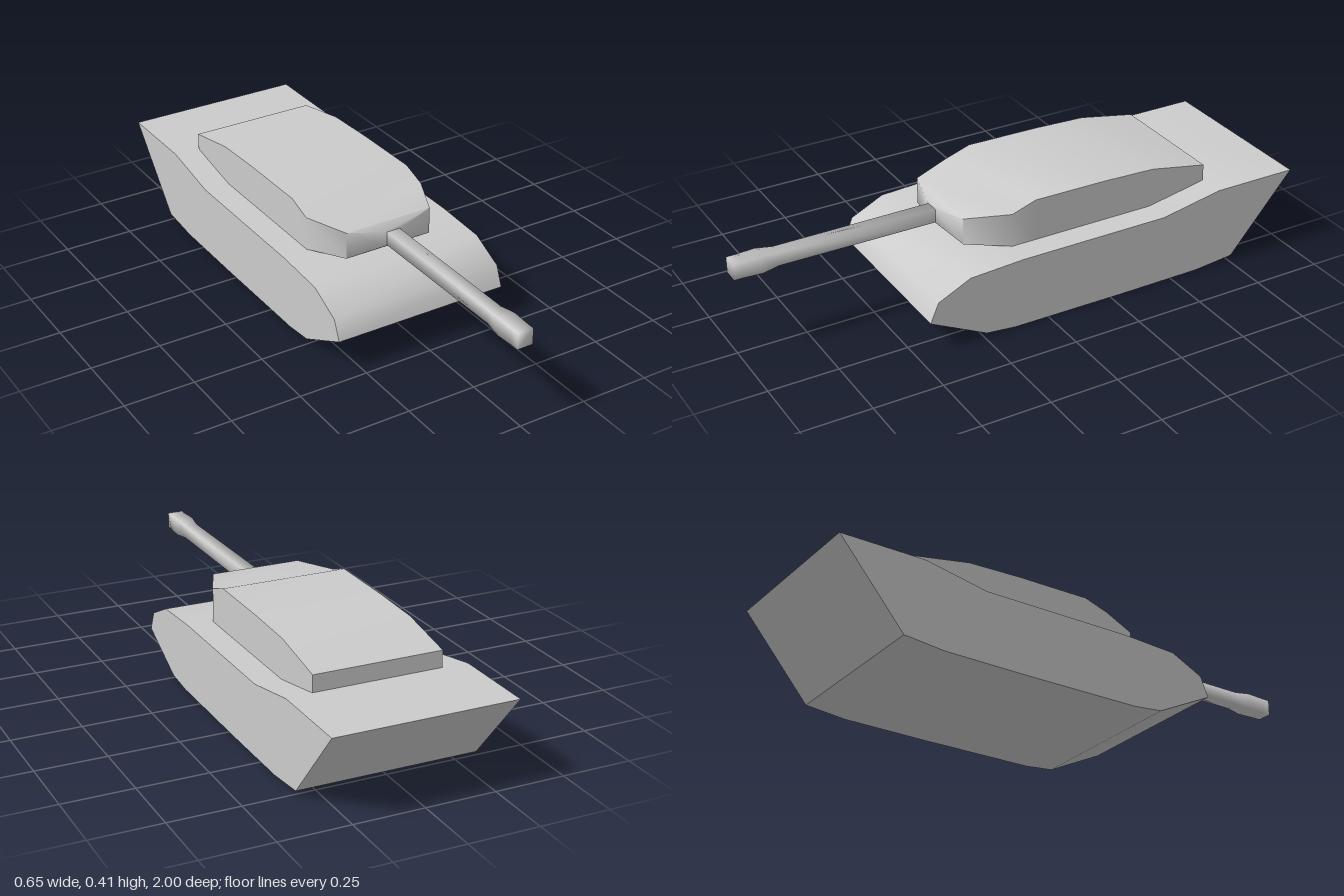
import * as THREE from 'three';
import { toCreasedNormals } from 'three/addons/utils/BufferGeometryUtils.js';

const material = new THREE.MeshStandardMaterial({ color: 0xcccccc });

// Rectangular sections [z, halfWidth, bottom, top], listed front to back, joined and capped
function loft(sections, crease) {
  const pos = [], index = [];
  for (const [z, w, b, t] of sections) pos.push(-w, b, z, w, b, z, w, t, z, -w, t, z);
  for (let s = 0; s < sections.length - 1; s++) {
    for (let k = 0; k < 4; k++) {
      const a = s * 4 + k, b = s * 4 + (k + 1) % 4;
      index.push(a, a + 4, b, b, a + 4, b + 4);
    }
  }
  const e = (sections.length - 1) * 4;
  index.push(0, 1, 2, 0, 2, 3, e, e + 2, e + 1, e, e + 3, e + 2);
  const g = new THREE.BufferGeometry();
  g.setAttribute('position', new THREE.Float32BufferAttribute(pos, 3));
  g.setIndex(index);
  return toCreasedNormals(g, THREE.MathUtils.degToRad(crease));
}

// Side profile (z, y) extruded across the full width
function hullGeometry() {
  const halfWidth = 0.323;
  const profile = [
    [0.45, 0.117], [0.42, 0.188], [0.3, 0.246], [0.1, 0.257], [-0.46, 0.257],
    [-0.69, 0.3], [-1, 0.3], [-0.76, 0.017], [-0.61, 0.002], [-0.3, 0],
    [0.13, 0.002], [0.24, 0.013],
  ];
  const shape = new THREE.Shape(profile.map(([z, y]) => new THREE.Vector2(z, y)));
  const g = new THREE.ExtrudeGeometry(shape, { depth: 2 * halfWidth, bevelEnabled: false });
  g.rotateY(-Math.PI / 2);
  g.translate(halfWidth, 0, 0);
  return toCreasedNormals(g, THREE.MathUtils.degToRad(42));
}

export function createModel() {
  const model = new THREE.Group();
  const add = (name, geometry) => {
    const mesh = new THREE.Mesh(geometry, material);
    mesh.name = name;
    model.add(mesh);
  };

  add('hull', hullGeometry());

  // Turret: pointed front, flat roof, sloping tail
  add('turret', loft([
    [0.27, 0.03, 0.297, 0.35],
    [0.24, 0.165, 0.275, 0.372],
    [0.09, 0.23, 0.257, 0.379],
    [0, 0.23, 0.257, 0.409],
    [-0.27, 0.23, 0.256, 0.407],
    [-0.47, 0.23, 0.254, 0.4],
    [-0.685, 0.23, 0.3, 0.36],
  ], 58));

  // Square gun barrel with a swollen muzzle, softly shaded
  const axis = 0.324;
  add('gunBarrel', loft([
    [1, 0.029], [0.97, 0.029], [0.9, 0.031], [0.84, 0.024], [0.25, 0.025],
  ].map(([z, r]) => [z, r, axis - r, axis + r]), 100));

  return model;
}
